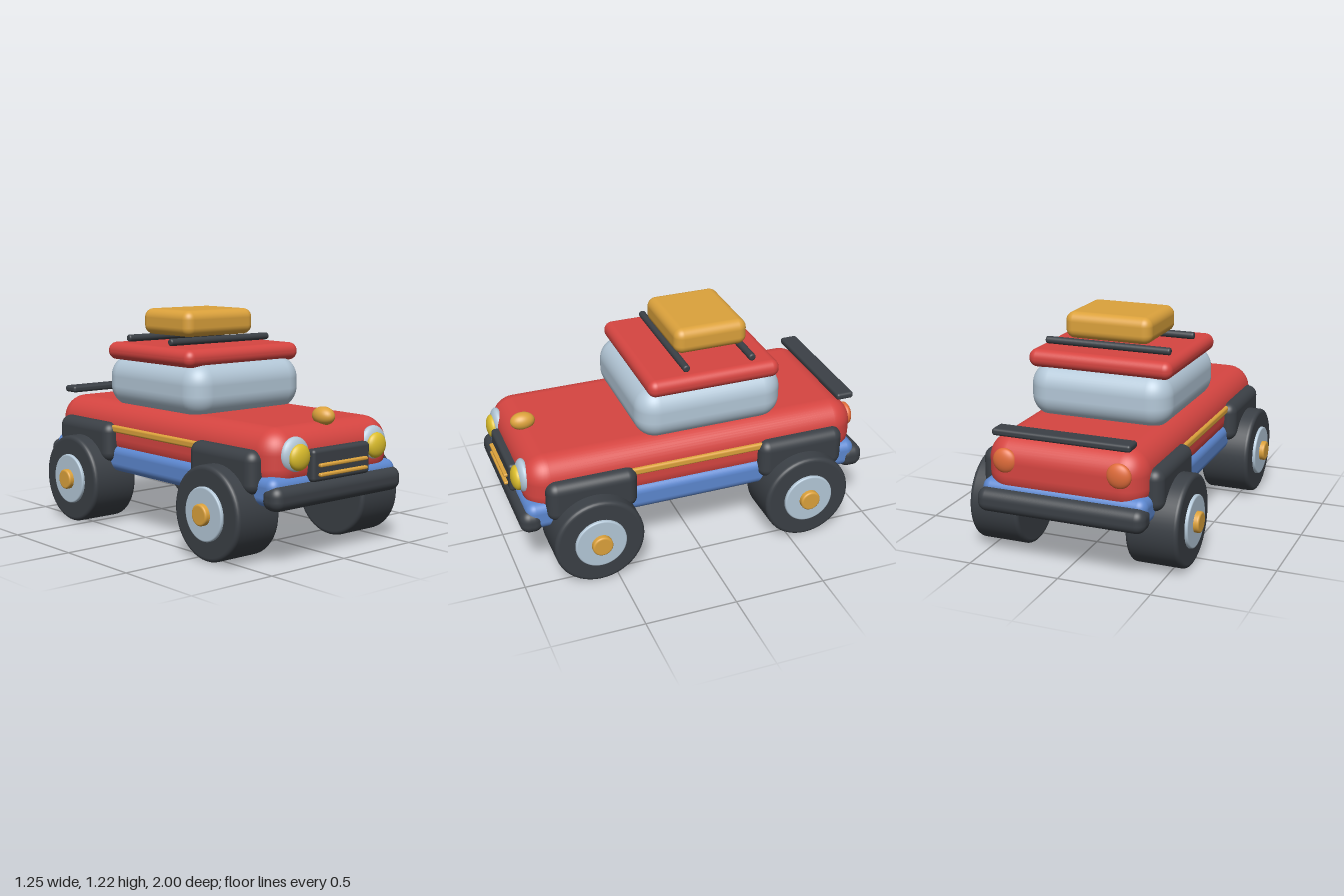
import * as THREE from 'three';
import { RoundedBoxGeometry } from 'three/addons/geometries/RoundedBoxGeometry.js';

const material = (name, color) => {
  const m = new THREE.MeshStandardMaterial({ color });
  m.name = name;
  return m;
};

export function createModel() {
  const red = material('red paint', 0xd64541);
  const blue = material('blue chassis', 0x5d88d0);
  const dark = material('dark rubber', 0x3b4046);
  const silver = material('silver glass', 0xb4c8d8);
  const gold = material('gold', 0xdca23c);
  const yellow = material('yellow lamp', 0xdcbe2c);
  const orange = material('orange lamp', 0xe06c3a);

  const car = new THREE.Group();
  car.name = 'car';

  const add = (name, geometry, mat, x, y, z, parent = car) => {
    const mesh = new THREE.Mesh(geometry, mat);
    mesh.name = name;
    mesh.position.set(x, y, z);
    parent.add(mesh);
    return mesh;
  };

  // Rounded box given by its [min, max] range on each axis
  const box = (name, mat, [x0, x1], [y0, y1], [z0, z1], r) =>
    add(name, new RoundedBoxGeometry(x1 - x0, y1 - y0, z1 - z0, 6, r), mat,
      (x0 + x1) / 2, (y0 + y1) / 2, (z0 + z1) / 2);

  // Ellipsoid from its centre and three radii
  const ellipsoid = (name, mat, [x, y, z], [rx, ry, rz]) =>
    add(name, new THREE.SphereGeometry(1, 32, 20).scale(rx, ry, rz), mat, x, y, z);

  // Cylinder along x with rounded rims
  const disc = (radius, length, bevel) => {
    const h = length / 2;
    const pts = [[0, -h], [radius - bevel - 0.002, -h]];
    for (const side of [-1, 1]) {
      for (let i = 0; i <= 5; i++) {
        const a = (side < 0 ? i - 5 : i) / 5 * Math.PI / 2;
        pts.push([radius - bevel + Math.cos(a) * bevel, side * (h - bevel) + Math.sin(a) * bevel]);
      }
      if (side < 0) pts.push([radius, -h + bevel + 0.002], [radius, h - bevel - 0.002]);
    }
    pts.push([radius - bevel - 0.002, h], [0, h]);
    return new THREE.LatheGeometry(pts.map(([x, y]) => new THREE.Vector2(x, y)), 48)
      .rotateZ(-Math.PI / 2);
  };

  // Chassis, body, cabin and roof
  box('chassis', blue, [-0.452, 0.452], [0.303, 0.455], [-0.95, 0.95], 0.05);
  box('body', red, [-0.437, 0.437], [0.36, 0.686], [-0.95, 0.94], 0.13);
  box('cabin', silver, [-0.398, 0.398], [0.66, 0.955], [-0.52, 0.308], 0.12);
  box('roof', red, [-0.404, 0.404], [0.93, 1.027], [-0.485, 0.256], 0.046);

  // Roof rack and luggage
  for (const z of [0.035, -0.337]) add('roofRail', disc(0.02, 0.71, 0.01), dark, 0, 1.053, z);
  box('luggage', gold, [-0.245, 0.245], [1.072, 1.216], [-0.358, 0.053], 0.05);

  // Bumpers, rear wing and hood ornament
  box('frontBumper', dark, [-0.46, 0.46], [0.29, 0.417], [0.86, 0.985], 0.052);
  box('rearBumper', dark, [-0.46, 0.46], [0.29, 0.417], [-1, -0.865], 0.052);
  box('rearWing', dark, [-0.375, 0.375], [0.697, 0.735], [-0.952, -0.852], 0.015);
  ellipsoid('hoodOrnament', gold, [0, 0.713, 0.842], [0.048, 0.048, 0.068]);

  // Grille with two slats
  box('grille', dark, [-0.205, 0.205], [0.412, 0.577], [0.91, 0.98], 0.02);
  for (const y of [0.449, 0.497]) {
    box('grilleSlat', gold, [-0.17, 0.17], [y - 0.009, y + 0.009], [0.97, 1], 0.007);
  }

  // Mirrored lamps, side stripes, fenders and wheels
  for (const s of [1, -1]) {
    const side = (a, b) => (s > 0 ? [a, b] : [-b, -a]);
    ellipsoid('headlightRim', silver, [s * 0.281, 0.555, 0.922], [0.091, 0.091, 0.04]);
    ellipsoid('headlight', yellow, [s * 0.277, 0.546, 0.953], [0.067, 0.067, 0.034]);
    ellipsoid('tailLight', orange, [s * 0.31, 0.568, -0.937], [0.066, 0.066, 0.032]);
    box('sideStripe', gold, side(0.42, 0.454), [0.528, 0.568], [-0.5, 0.5], 0.012);

    for (const z of [0.598, -0.598]) {
      box('fender', dark, side(0.33, 0.497), [0.355, 0.58], [z - 0.247, z + 0.247], 0.055);
      const wheel = new THREE.Group();
      wheel.name = 'wheel';
      wheel.position.set(s * 0.44, 0.246, z);
      car.add(wheel);
      add('tire', disc(0.246, 0.28, 0.02), dark, 0, 0, 0, wheel);
      add('hub', disc(0.14, 0.06, 0.008), silver, s * 0.127, 0, 0, wheel);
      add('hubCap', disc(0.056, 0.06, 0.01), gold, s * 0.156, 0, 0, wheel);
    }
  }

  return car;
}
